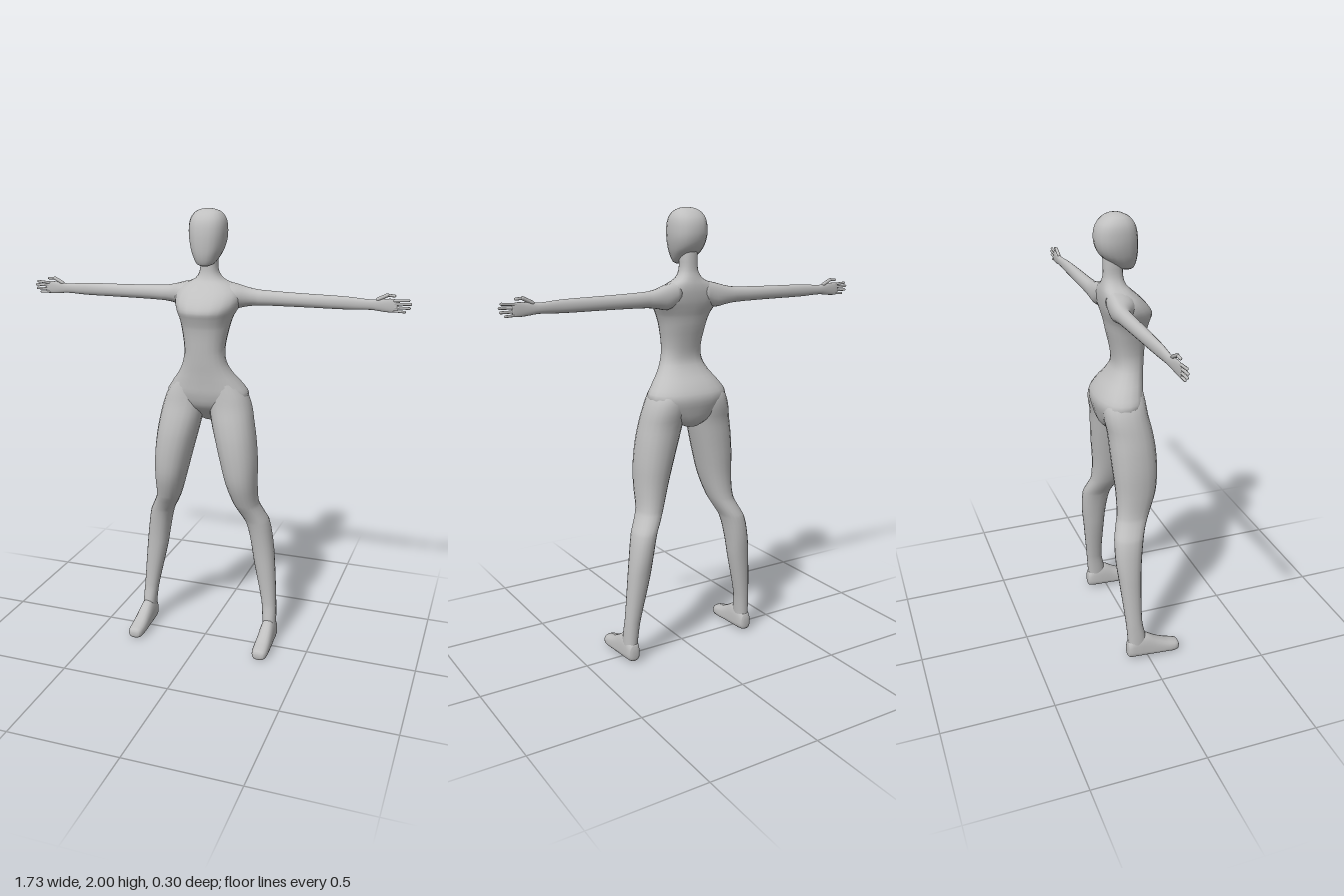
import * as THREE from 'three';

const SIDES = 20, STEPS = 3;

// Loft through sections [t, aMin, aMax, bMin, bMid, bMax] along an axis.
// axis y: t=y a=x b=z | axis x: t=x a=y b=z | axis z: t=z a=x b=y
function loft(rows, axis, side = 1, power = 2.3) {
  const place = {
    y: (t, a, b) => [a * side, t, b],
    x: (t, a, b) => [t * side, a, b],
    z: (t, a, b) => [a * side, b, t],
  }[axis];

  // Smooth the sections along the length
  const rings = [];
  for (let i = 0; i < rows.length - 1; i++) {
    const p0 = rows[Math.max(i - 1, 0)], p1 = rows[i], p2 = rows[i + 1];
    const p3 = rows[Math.min(i + 2, rows.length - 1)];
    const slope = (a, b, k) => (b[0] === a[0] ? 0 : (b[k] - a[k]) / (b[0] - a[0]));
    const span = p2[0] - p1[0];
    for (let s = 0; s < STEPS; s++) {
      const u = s / STEPS, u2 = u * u, u3 = u2 * u;
      rings.push(p1.map((v, k) => k === 0 ? v + span * u :
        (2 * u3 - 3 * u2 + 1) * v + (u3 - 2 * u2 + u) * span * slope(p0, p2, k) +
        (3 * u2 - 2 * u3) * p2[k] + (u3 - u2) * span * slope(p1, p3, k)));
    }
  }
  rings.push(rows[rows.length - 1]);

  const pos = [], index = [];
  const flip = (axis !== 'y') !== (side < 0);
  const tri = (a, b, c) => (flip ? index.push(a, c, b) : index.push(a, b, c));
  const bend = (v) => Math.sign(v) * Math.abs(v) ** (2 / power);
  for (const [t, a0, a1, b0, bm, b1] of rings) {
    for (let j = 0; j < SIDES; j++) {
      const w = (j / SIDES) * Math.PI * 2;
      const c = bend(Math.cos(w)), s = bend(Math.sin(w));
      pos.push(...place(t, (a0 + a1) / 2 + c * (a1 - a0) / 2, bm + s * (s > 0 ? b1 - bm : bm - b0)));
    }
  }
  for (let i = 0; i < rings.length - 1; i++) {
    for (let j = 0; j < SIDES; j++) {
      const a = i * SIDES + j, b = i * SIDES + (j + 1) % SIDES;
      tri(a, a + SIDES, b);
      tri(b, a + SIDES, b + SIDES);
    }
  }
  // End caps
  [0, rings.length - 1].forEach((i) => {
    const [t, a0, a1, b0, bm, b1] = rings[i], centre = pos.length / 3;
    pos.push(...place(t, (a0 + a1) / 2, (b0 + b1) / 2));
    for (let j = 0; j < SIDES; j++) {
      const a = i * SIDES + j, b = i * SIDES + (j + 1) % SIDES;
      if (i === 0) tri(centre, a, b); else tri(centre, b, a);
    }
  });
  const geometry = new THREE.BufferGeometry();
  geometry.setAttribute('position', new THREE.Float32BufferAttribute(pos, 3));
  geometry.setIndex(index);
  geometry.computeVertexNormals();
  return geometry;
}

const centred = (rows) => rows.map(([t, half, ...b]) => [t, -half, half, ...b]);

// height, half width, back, widest depth, front
const TORSO = centred([
  [1.065, 0.03, -0.10, -0.08, -0.06],
  [1.09, 0.08, -0.122, -0.07, -0.03],
  [1.14, 0.15, -0.138, -0.05, 0.035],
  [1.20, 0.187, -0.147, -0.04, 0.058],
  [1.25, 0.160, -0.122, -0.03, 0.064],
  [1.30, 0.122, -0.083, -0.01, 0.069],
  [1.35, 0.097, -0.058, 0.005, 0.075],
  [1.41, 0.090, -0.061, 0.005, 0.081],
  [1.50, 0.105, -0.080, -0.01, 0.090],
  [1.545, 0.118, -0.088, -0.02, 0.104],
  [1.575, 0.132, -0.096, -0.035, 0.113],
  [1.61, 0.148, -0.104, -0.055, 0.094],
  [1.65, 0.145, -0.108, -0.065, 0.056],
  [1.68, 0.110, -0.107, -0.065, 0.022],
  [1.705, 0.062, -0.102, -0.06, 0.000],
  [1.74, 0.040, -0.094, -0.053, -0.010],
  [1.79, 0.037, -0.094, -0.053, -0.010],
  [1.84, 0.035, -0.095, -0.053, -0.010],
]);

const HEAD = centred([
  [1.764, 0.018, -0.012, 0.01, 0.028],
  [1.772, 0.036, -0.030, 0.00, 0.038],
  [1.80, 0.055, -0.070, -0.02, 0.048],
  [1.83, 0.068, -0.108, -0.03, 0.052],
  [1.87, 0.078, -0.127, -0.04, 0.053],
  [1.91, 0.081, -0.131, -0.04, 0.050],
  [1.95, 0.077, -0.122, -0.04, 0.040],
  [1.98, 0.061, -0.097, -0.04, 0.018],
  [1.995, 0.036, -0.068, -0.04, -0.010],
  [2.00, 0.010, -0.046, -0.037, -0.028],
]);

// height, inner, outer, back, widest depth, front
const LEG = [
  [0.05, 0.278, 0.336, -0.090, -0.05, 0.000],
  [0.12, 0.272, 0.335, -0.094, -0.05, -0.010],
  [0.20, 0.263, 0.331, -0.100, -0.06, -0.024],
  [0.40, 0.220, 0.317, -0.120, -0.07, -0.020],
  [0.50, 0.204, 0.306, -0.131, -0.07, -0.013],
  [0.60, 0.182, 0.288, -0.130, -0.06, 0.002],
  [0.65, 0.156, 0.264, -0.116, -0.045, 0.020],
  [0.70, 0.132, 0.243, -0.102, -0.03, 0.045],
  [0.80, 0.100, 0.240, -0.100, -0.01, 0.080],
  [0.90, 0.074, 0.239, -0.108, -0.01, 0.090],
  [1.00, 0.048, 0.230, -0.115, -0.015, 0.088],
  [1.08, 0.028, 0.217, -0.120, -0.02, 0.077],
  [1.15, 0.015, 0.202, -0.132, -0.03, 0.062],
  [1.21, 0.015, 0.178, -0.125, -0.03, 0.054],
  [1.28, 0.030, 0.125, -0.070, -0.02, 0.045],
];

// depth, inner, outer, sole, widest height, top
const FOOT = [
  [-0.098, 0.293, 0.317, 0.025, 0.045, 0.065],
  [-0.092, 0.280, 0.332, 0.012, 0.045, 0.090],
  [-0.06, 0.272, 0.338, 0.009, 0.04, 0.120],
  [-0.01, 0.270, 0.340, 0.008, 0.035, 0.122],
  [0.04, 0.270, 0.342, 0.006, 0.03, 0.092],
  [0.09, 0.269, 0.343, 0.003, 0.026, 0.067],
  [0.13, 0.272, 0.342, 0.000, 0.024, 0.054],
  [0.15, 0.280, 0.334, 0.004, 0.024, 0.046],
  [0.156, 0.292, 0.322, 0.014, 0.024, 0.034],
];

// distance out, bottom, top, back, widest depth, front
const ARM = [
  [0.06, 1.605, 1.697, -0.105, -0.07, 0.010],
  [0.12, 1.580, 1.684, -0.109, -0.075, 0.006],
  [0.17, 1.588, 1.670, -0.109, -0.078, -0.030],
  [0.22, 1.594, 1.662, -0.107, -0.078, -0.047],
  [0.40, 1.597, 1.656, -0.102, -0.077, -0.050],
  [0.60, 1.598, 1.652, -0.094, -0.077, -0.060],
  [0.70, 1.602, 1.645, -0.091, -0.078, -0.067],
  [0.75, 1.597, 1.650, -0.088, -0.079, -0.070],
  [0.79, 1.595, 1.652, -0.086, -0.080, -0.073],
  [0.81, 1.598, 1.648, -0.084, -0.080, -0.075],
];

// Fingers: start x, start y, end x, end y, radius
const FINGERS = [
  ['thumb', 0.725, 1.646, 0.765, 1.666, 0.008],
  ['thumbTip', 0.765, 1.666, 0.794, 1.664, 0.006],
  ['indexFinger', 0.795, 1.644, 0.852, 1.648, 0.0058],
  ['middleFinger', 0.795, 1.631, 0.860, 1.633, 0.006],
  ['ringFinger', 0.795, 1.616, 0.856, 1.616, 0.0058],
  ['littleFinger', 0.795, 1.602, 0.838, 1.600, 0.0052],
];

export function createModel() {
  const model = new THREE.Group();
  model.name = 'mannequin';
  const grey = new THREE.MeshStandardMaterial({ color: 0xc0c0c0 });
  grey.name = 'light grey';

  const add = (name, geometry) => {
    const mesh = new THREE.Mesh(geometry, grey);
    mesh.name = name;
    model.add(mesh);
    return mesh;
  };

  add('torsoAndNeck', loft(TORSO, 'y'));
  add('head', loft(HEAD, 'y'));

  for (const [label, s] of [['left', 1], ['right', -1]]) {
    add(label + 'Leg', loft(LEG, 'y', s, 2.2));
    add(label + 'Foot', loft(FOOT, 'z', s, 2.5));
    add(label + 'Arm', loft(ARM, 'x', s, 2.1));
    for (const [name, x0, y0, x1, y1, r] of FINGERS) {
      const dx = x1 - x0, dy = y1 - y0;
      const finger = add(label + ' ' + name, new THREE.CapsuleGeometry(r, Math.hypot(dx, dy), 3, 8));
      finger.position.set(s * (x0 + x1) / 2, (y0 + y1) / 2, -0.079);
      finger.rotation.z = -s * Math.atan2(dx, dy);
    }
  }
  return model;
}
